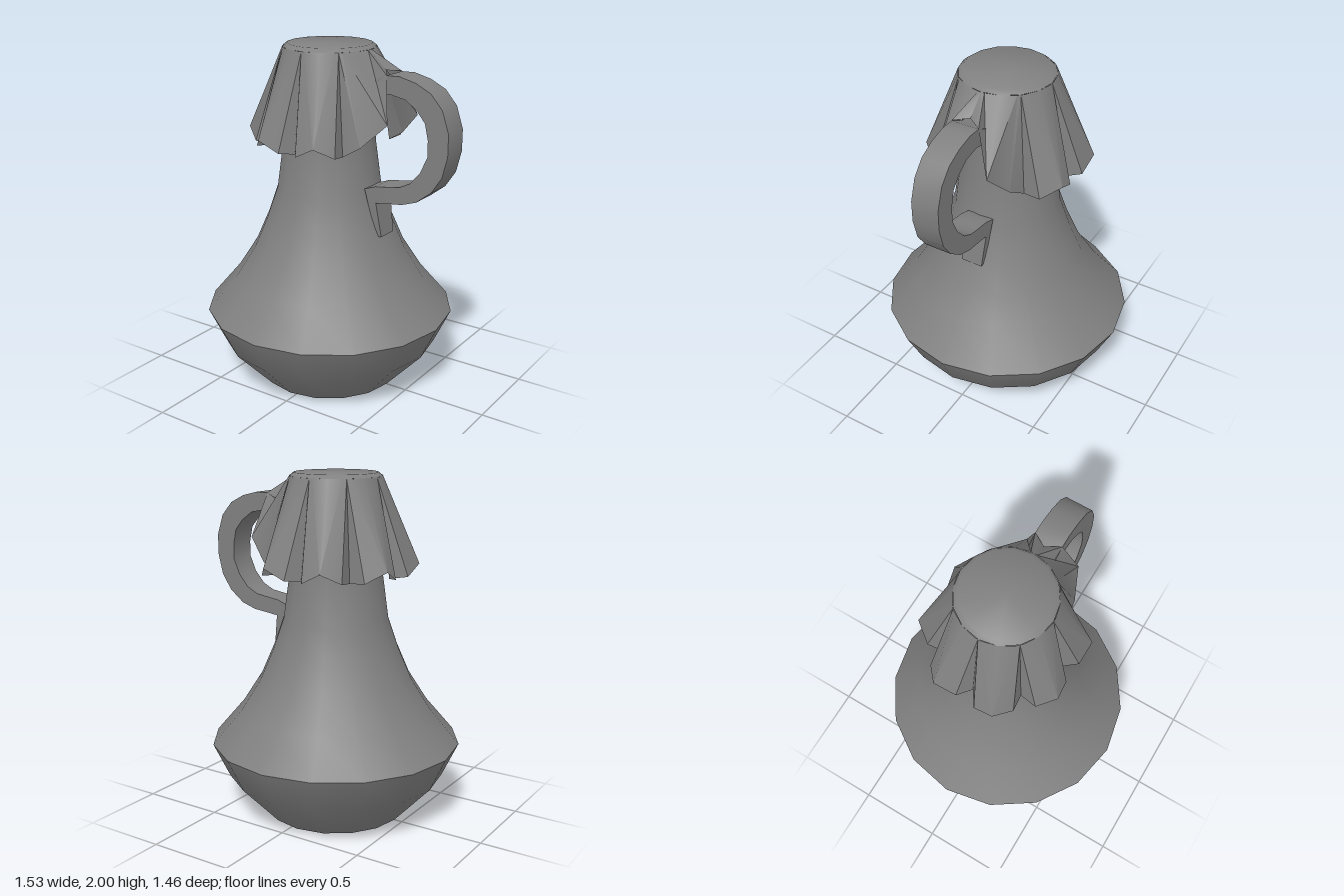
import * as THREE from 'three';
import { toCreasedNormals } from 'three/addons/utils/BufferGeometryUtils.js';

const AXIS_X = -0.04; // axis of the jug; the handle pushes it off centre
const RIM = 0.265;

const vectors = (pairs) => pairs.map(([x, y]) => new THREE.Vector2(x, y));

function addMesh(group, name, geometry, x, side = THREE.FrontSide) {
  const material = new THREE.MeshStandardMaterial({ color: 0x808080, side });
  const mesh = new THREE.Mesh(geometry, material);
  mesh.name = name;
  mesh.position.x = x;
  group.add(mesh);
}

const lathe = (profile, crease) =>
  toCreasedNormals(new THREE.LatheGeometry(vectors(profile), 16), crease);

// Pleated cloth: a round top edge joined to a hem of eight flaps
function clothGeometry() {
  const flap = [ // degrees at the top, degrees at the hem, hem radius, hem height
    [0, 0, 0.35, 1.43], [4, 8, 0.44, 1.44], [22.5, 22.5, 0.48, 1.5], [41, 37, 0.43, 1.44],
  ];
  // hem lifted over the handle, by columns away from the handle
  const lifted = [[0.37, 1.88, 0], [0.42, 1.87, 0.08], [0.48, 1.62, 0.16], [0.35, 1.49, 0.22]];
  const top = [], hem = [];
  for (let k = 0; k < 8; k++) {
    flap.forEach(([topDegrees, hemDegrees, r, y], column) => {
      const t = THREE.MathUtils.degToRad(k * 45 + topDegrees);
      const a = THREE.MathUtils.degToRad(k * 45 + hemDegrees);
      top.push([-RIM * Math.cos(t), 1.98, RIM * Math.sin(t)]);
      const lift = lifted[Math.abs(k * 4 + column - 16)];
      const depth = Math.sin(a) > 0 ? 0.95 : 1; // the front hangs a little closer
      hem.push(lift
        ? [lift[0], lift[1], lift[2] * Math.sign(Math.sin(a))]
        : [-r * Math.cos(a), y, r * Math.sin(a) * depth]);
    });
  }
  const positions = [];
  const n = top.length;
  for (let i = 0; i < n; i++) {
    const j = (i + 1) % n;
    // mirror the diagonals about the middle of each flap
    const corners = i % 4 < 2
      ? [top[i], hem[i], hem[j], top[i], hem[j], top[j]]
      : [top[i], hem[i], top[j], top[j], hem[i], hem[j]];
    positions.push(...corners.flat());
  }
  const geometry = new THREE.BufferGeometry();
  geometry.setAttribute('position', new THREE.Float32BufferAttribute(positions, 3));
  return toCreasedNormals(geometry, 0.6);
}

// Flat strap handle with a tail that narrows down the neck
function handleGeometry() {
  const outline = [
    [0.15, 1.8], [0.28, 1.82], [0.38, 1.868], [0.46, 1.87], [0.56, 1.845], [0.65, 1.8],
    [0.72, 1.72], [0.76, 1.6], [0.76, 1.48], [0.73, 1.36], [0.67, 1.27], [0.58, 1.2],
    [0.49, 1.17], [0.4, 1.16], [0.325, 1.15], [0.355, 0.95], [0.32, 0.95], [0.25, 1.22],
    [0.32, 1.245], [0.4, 1.255], [0.47, 1.265], [0.54, 1.3], [0.6, 1.37], [0.64, 1.46],
    [0.64, 1.55], [0.62, 1.64], [0.57, 1.7], [0.5, 1.75], [0.4, 1.77], [0.28, 1.74], [0.15, 1.72],
  ];
  const geometry = new THREE.ExtrudeGeometry(new THREE.Shape(vectors(outline)), {
    depth: 0.16, bevelEnabled: false,
  });
  geometry.translate(0, 0, -0.08);
  const p = geometry.attributes.position;
  for (let i = 0; i < p.count; i++) {
    if (p.getY(i) < 1) p.setZ(i, p.getZ(i) * 0.8);
  }
  return toCreasedNormals(geometry, 0.7);
}

export function createModel() {
  const model = new THREE.Group();
  model.name = 'jug';

  addMesh(model, 'body', lathe([
    [0, 0], [0.41, 0], [0.635, 0.24], [0.73, 0.44], [0.56, 0.64], [0.445, 0.82],
    [0.367, 1], [0.305, 1.18], [0.268, 1.45], [0.25, 1.7], [0.245, 1.98],
  ], 0.6), AXIS_X);

  // softly rounded top edge
  addMesh(model, 'lid', lathe([[RIM, 1.98], [0.24, 2], [0, 2]], 1.1), AXIS_X);

  addMesh(model, 'clothCover', clothGeometry(), AXIS_X, THREE.DoubleSide);
  addMesh(model, 'handle', handleGeometry(), 0);
  return model;
}
